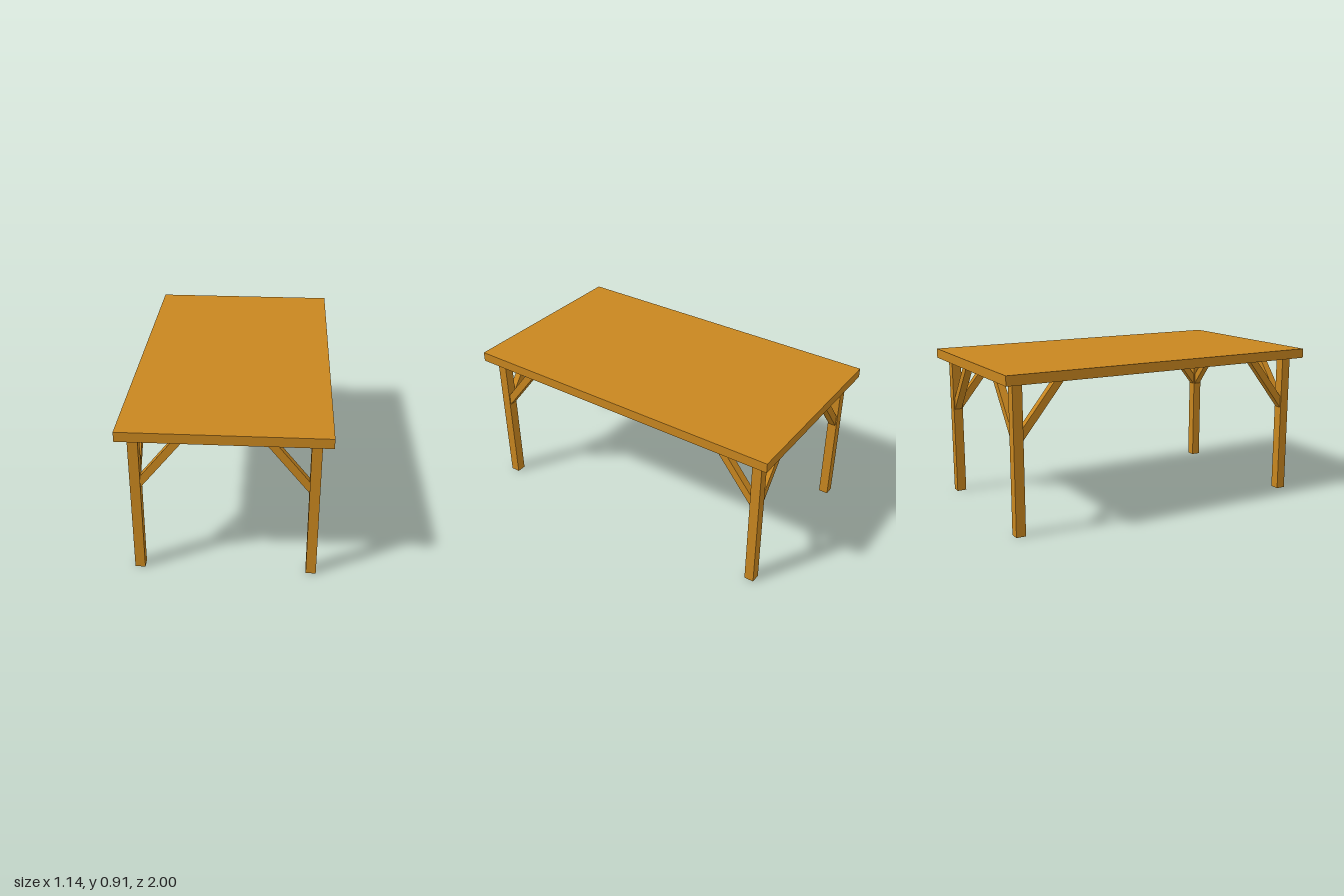
import * as THREE from 'three';

const TOP_Y = 0.857, HEIGHT = 0.914;      // underside and upper face of the top
const HALF_X = 0.571, HALF_Z = 1;         // half size of the top
const LEG = 0.057, INSET = 0.0855;        // leg thickness, leg centre from the edge
const BRACE = 0.043;                      // brace width

export function createModel() {
  const table = new THREE.Group();
  table.name = 'table';
  const wood = new THREE.MeshStandardMaterial({ color: 0xc8861f, flatShading: true });

  const add = (parent, geometry, name, x = 0, y = 0, z = 0) => {
    const mesh = new THREE.Mesh(geometry, wood);
    mesh.name = name;
    mesh.position.set(x, y, z);
    parent.add(mesh);
    return mesh;
  };

  // Table top
  add(table, new THREE.BoxGeometry(HALF_X * 2, HEIGHT - TOP_Y, HALF_Z * 2), 'tableTop', 0, (TOP_Y + HEIGHT) / 2, 0);

  // Diagonal brace running from the leg face (+x side) up to the top, ends cut flush
  const face = LEG / 2;
  const profile = new THREE.Shape([
    [face, 0.538], [face + 0.257, TOP_Y], [face + 0.2, TOP_Y], [face, 0.608],
  ].map(([x, y]) => new THREE.Vector2(x, y)));
  const braceGeometry = new THREE.ExtrudeGeometry(profile, { depth: BRACE, bevelEnabled: false });
  braceGeometry.translate(0, 0, -BRACE / 2);
  const legGeometry = new THREE.BoxGeometry(LEG, TOP_Y, LEG);

  // Four legs, each with one brace along x and one along z, pointing inward
  for (const sx of [-1, 1]) {
    for (const sz of [-1, 1]) {
      const corner = new THREE.Group();
      corner.name = `${sz > 0 ? 'front' : 'back'}${sx > 0 ? 'Left' : 'Right'}Leg`;
      corner.position.set(sx * (HALF_X - INSET), 0, sz * (HALF_Z - INSET));
      add(corner, legGeometry, 'legPost', 0, TOP_Y / 2, 0);
      add(corner, braceGeometry, 'crossBrace').rotation.y = sx > 0 ? Math.PI : 0;
      add(corner, braceGeometry, 'lengthBrace').rotation.y = sz * Math.PI / 2;
      table.add(corner);
    }
  }
  return table;
}
